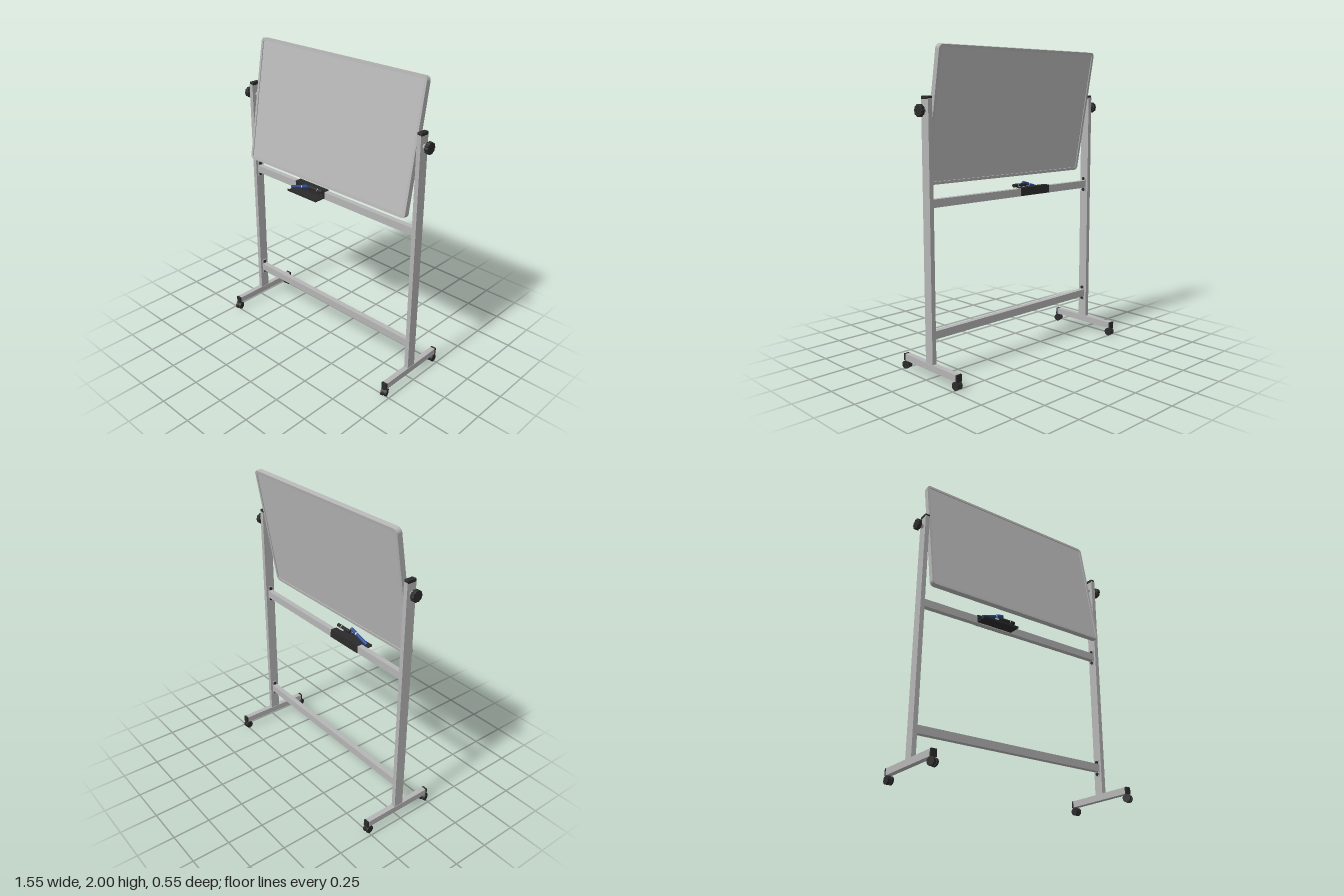
import * as THREE from 'three';
import { RoundedBoxGeometry } from 'three/addons/geometries/RoundedBoxGeometry.js';

const mat = (name, color) => {
  const m = new THREE.MeshStandardMaterial({ color });
  m.name = name;
  return m;
};

export function createModel() {
  const metal = mat('grey metal', 0xb5b5b5);
  const surface = mat('board surface', 0xb9b9b9);
  const black = mat('black plastic', 0x2b2b2b);
  const blue = mat('marker blue', 0x2b4796);
  const white = mat('marker white', 0xd8d8d8);

  const model = new THREE.Group();
  model.name = 'mobileBoard';

  const add = (parent, name, geometry, material, x = 0, y = 0, z = 0) => {
    const mesh = new THREE.Mesh(geometry, material);
    mesh.name = name;
    mesh.position.set(x, y, z);
    parent.add(mesh);
    return mesh;
  };
  const box = (w, h, d) => new THREE.BoxGeometry(w, h, d);
  // Cylinder lying along x
  const rod = (r0, r1, length, sides = 20) =>
    new THREE.CylinderGeometry(r1, r0, length, sides).rotateZ(-Math.PI / 2);
  const group = (parent, name, x, y, z) => {
    const g = new THREE.Group();
    g.name = name;
    g.position.set(x, y, z);
    parent.add(g);
    return g;
  };
  const roundedRect = (path, w, h, r) => {
    const x = w / 2, y = h / 2;
    path.moveTo(-x + r, -y);
    path.lineTo(x - r, -y);
    path.absarc(x - r, -y + r, r, -Math.PI / 2, 0);
    path.lineTo(x, y - r);
    path.absarc(x - r, y - r, r, 0, Math.PI / 2);
    path.lineTo(-x + r, y);
    path.absarc(-x + r, y - r, r, Math.PI / 2, Math.PI);
    path.lineTo(-x, -y + r);
    path.absarc(-x + r, -y + r, r, Math.PI, Math.PI * 1.5);
    return path;
  };

  // Tilting board: rounded frame around a slightly recessed two-sided panel
  const W = 1.36, H = 0.8315, T = 0.035, RIM = 0.018;
  const board = group(model, 'tiltingBoard', 0, 1.5875, 0);
  board.rotation.x = -THREE.MathUtils.degToRad(10);
  const frame = roundedRect(new THREE.Shape(), W, H, 0.028);
  frame.holes.push(roundedRect(new THREE.Path(), W - 2 * RIM, H - 2 * RIM, 0.014));
  add(board, 'boardFrame', new THREE.ExtrudeGeometry(frame, {
    depth: T, bevelEnabled: false, curveSegments: 6,
  }), metal, 0, 0, -T / 2);
  add(board, 'writingPanel', box(W - 2 * RIM + 0.006, H - 2 * RIM + 0.006, T - 0.01), surface);

  // Scalloped outline of the tightening knobs
  const lobes = [];
  for (let i = 0; i < 64; i++) {
    const a = (i / 64) * Math.PI * 2;
    const r = 0.0325 + 0.002 * Math.cos(a * 10);
    lobes.push(new THREE.Vector2(Math.cos(a) * r, Math.sin(a) * r));
  }
  const knobGeometry = new THREE.ExtrudeGeometry(new THREE.Shape(lobes), {
    depth: 0.02, bevelThickness: 0.003, bevelSize: 0.003, bevelSegments: 2,
  });

  const PX = 0.71;
  for (const s of [1, -1]) {
    const side = group(model, s > 0 ? 'leftStand' : 'rightStand', s * PX, 0, 0);

    // Post and foot
    add(side, 'post', box(0.029, 1.6, 0.066), metal, 0, 0.89, 0);
    add(side, 'postCap', new RoundedBoxGeometry(0.033, 0.022, 0.064, 2, 0.005), black, 0, 1.694, 0);
    add(side, 'foot', box(0.035, 0.042, 0.5), metal, 0, 0.075, -0.006);
    for (const e of [1, -1]) {
      add(side, 'footEndCap', box(0.037, 0.044, 0.012), black, 0, 0.075, e * 0.254 - 0.006);

      // Twin-wheel caster, turned a little
      const caster = group(side, 'caster', 0, 0.026, e * 0.245);
      caster.rotation.y = e > 0 ? 0.35 : 0.08;
      for (const w of [1, -1])
        add(caster, 'casterWheel', rod(0.026, 0.026, 0.014), black, w * 0.0125, 0, 0);
      add(caster, 'casterHub', rod(0.02, 0.02, 0.03), black);
      add(caster, 'casterStem', new THREE.CylinderGeometry(0.008, 0.008, 0.035, 12), black, 0, 0.02, 0);
    }

    // Pivot rod, sleeve and knob
    add(side, 'pivotRod', rod(0.011, 0.011, 0.07), metal, -s * 0.002, 1.62, 0);
    const sleeve = add(side, 'knobSleeve', rod(0.013, 0.02, 0.028), metal, s * 0.026, 1.62, 0);
    if (s < 0) sleeve.rotation.y = Math.PI;
    const knob = group(side, 'knob', s * 0.042, 1.62, 0);
    knob.rotation.y = s * Math.PI / 2;
    add(knob, 'knobGrip', knobGeometry, black);
    add(knob, 'knobCollar', new THREE.CylinderGeometry(0.03, 0.022, 0.01, 20).rotateX(Math.PI / 2),
      black, 0, 0, -0.004);

    // Joint plates and bolts where the crossbars meet the post
    for (const y of [1.074, 0.27]) {
      add(side, 'jointPlate', box(0.004, 0.11, 0.032), metal, -s * 0.0165, y, 0);
      for (const v of [1, -1])
        add(side, 'jointBolt', rod(0.011, 0.011, 0.01, 10), black, -s * 0.02, y + v * 0.04, 0);
    }
  }

  // Crossbars
  add(model, 'upperCrossbar', box(2 * PX - 0.03, 0.05, 0.036), metal, 0, 1.074, 0);
  add(model, 'lowerCrossbar', box(2 * PX - 0.03, 0.05, 0.036), metal, 0, 0.27, 0);

  // Pen tray hooked over the upper crossbar
  const tray = group(model, 'penTray', -0.17, 0, 0);
  const TW = 0.264;
  add(tray, 'trayRearHook', box(TW, 0.054, 0.005), black, 0, 1.078, -0.021);
  add(tray, 'trayTop', box(TW, 0.005, 0.047), black, 0, 1.1025, 0);
  add(tray, 'trayBackPlate', box(TW, 0.05, 0.005), black, 0, 1.08, 0.021);
  add(tray, 'trayFloor', box(TW, 0.007, 0.08), black, 0, 1.0585, 0.06);
  add(tray, 'trayLip', box(TW, 0.014, 0.005), black, 0, 1.062, 0.0975);

  // Markers: a blue one leaning, a black one lying along the tray top
  const blueMarker = group(model, 'blueMarker', -0.22, 1.1, 0.065);
  blueMarker.rotation.z = 0.3;
  add(blueMarker, 'blueBarrel', rod(0.011, 0.011, 0.105), blue, -0.025, 0, 0);
  add(blueMarker, 'blueBand', rod(0.0113, 0.0113, 0.008), white, 0.031, 0, 0);
  add(blueMarker, 'blueCap', rod(0.0125, 0.011, 0.05), blue, 0.06, 0, 0);

  const blackMarker = group(model, 'blackMarker', -0.09, 1.114, 0.045);
  add(blackMarker, 'blackBarrel', rod(0.011, 0.011, 0.08), black, -0.02, 0, 0);
  add(blackMarker, 'blackBand', rod(0.0113, 0.0113, 0.006), white, 0.022, 0, 0);
  add(blackMarker, 'blackCap', rod(0.0125, 0.011, 0.036), black, 0.042, 0, 0);

  return model;
}
